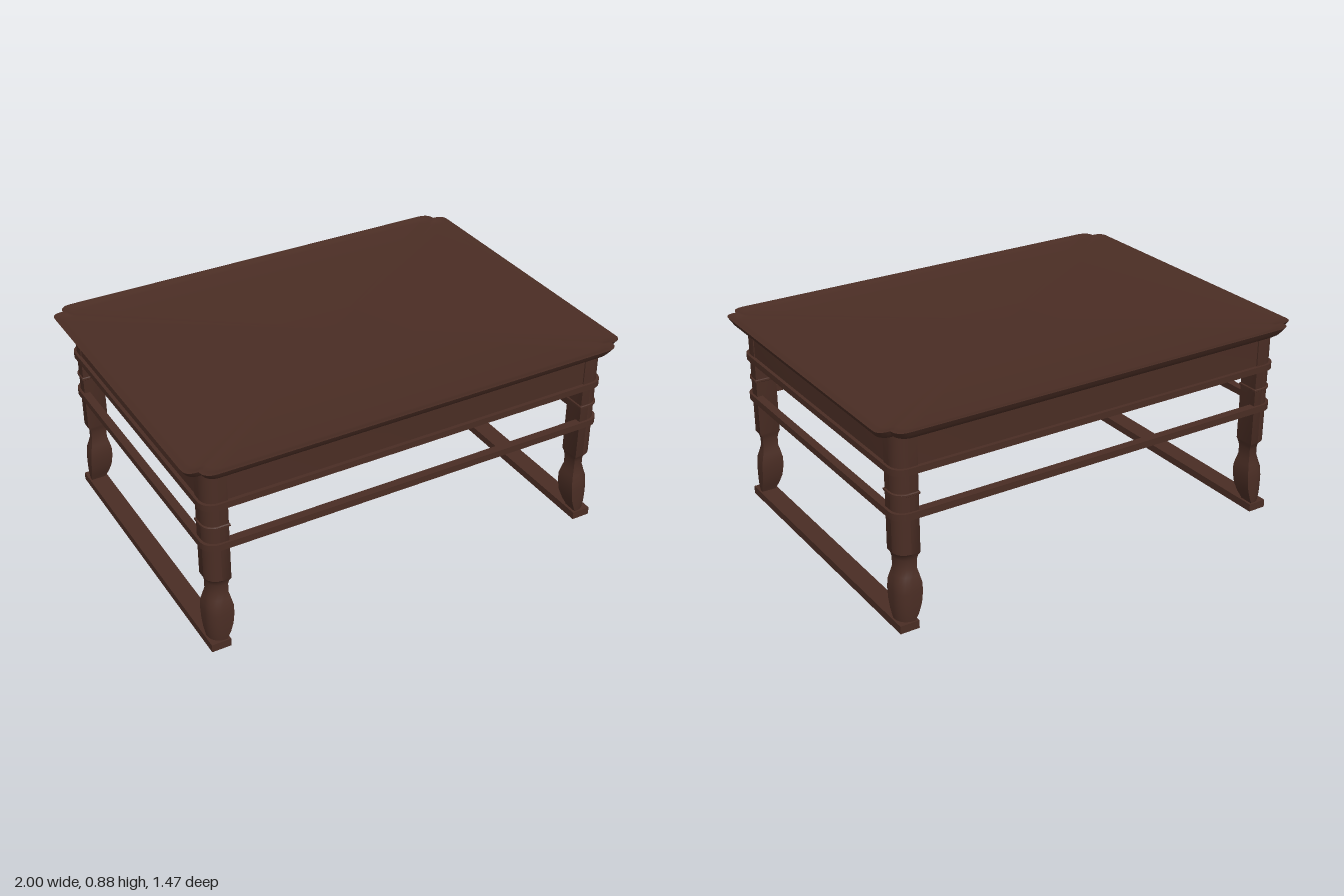
import * as THREE from 'three';
import { toCreasedNormals } from 'three/addons/utils/BufferGeometryUtils.js';

const wood = new THREE.MeshStandardMaterial({ color: 0x4a2d24 });
wood.name = 'dark brown wood';

// Skin a stack of rings (bottom to top), closed by a point at each end.
// Ring points run from +x towards +z.
function loft(rings, crease = 0.6) {
  const pos = [];
  const tri = (a, b, c) => {
    if (a.distanceTo(b) < 1e-6 || b.distanceTo(c) < 1e-6 || a.distanceTo(c) < 1e-6) return;
    for (const p of [a, b, c]) pos.push(p.x, p.y, p.z);
  };
  const closed = (r) => {
    const c = r.reduce((s, p) => s.add(p), new THREE.Vector3()).divideScalar(r.length);
    return r.map(() => c);
  };
  const all = [closed(rings[0]), ...rings, closed(rings[rings.length - 1])];
  for (let k = 0; k < all.length - 1; k++) {
    const a = all[k], b = all[k + 1], n = a.length;
    for (let i = 0; i < n; i++) {
      const j = (i + 1) % n;
      tri(a[i], b[i], a[j]);
      tri(a[j], b[i], b[j]);
    }
  }
  const g = new THREE.BufferGeometry();
  g.setAttribute('position', new THREE.Float32BufferAttribute(pos, 3));
  return toCreasedNormals(g, crease);
}

// Table-top outline with two-lobed corners, inset by o
function topRing(y, o) {
  const hx = 1 - o, hz = 0.735 - o;
  const V = (x, z) => new THREE.Vector2(x, z);
  const cusp = V(hx - 0.052, hz - 0.048);
  const corner = [
    ...new THREE.QuadraticBezierCurve(V(hx, hz - 0.09), V(hx, hz - 0.045), cusp).getPoints(8),
    ...new THREE.QuadraticBezierCurve(cusp, V(hx - 0.055, hz), V(hx - 0.11, hz)).getPoints(8).slice(1),
  ];
  const pts = [];
  for (const [sx, sz] of [[1, 1], [-1, 1], [-1, -1], [1, -1]]) {
    const c = corner.map((p) => new THREE.Vector3(p.x * sx, y, p.y * sz));
    pts.push(...(sx * sz < 0 ? c.reverse() : c));
  }
  return pts;
}

// Square leg section from a (inner) to b (outer) with a rounded outer corner
function legRing(y, a, b, sx, sz) {
  const r = 0.055, dx = 0.25, pts = [[a, a], [b, a]];
  for (let i = 0; i <= 6; i++) {
    const t = (i / 6) * Math.PI / 2;
    pts.push([b - r + r * Math.cos(t), b - r + r * Math.sin(t)]);
  }
  pts.push([a, b]);
  const ring = pts.map(([x, z]) => new THREE.Vector3((x + dx) * sx, y, z * sz));
  return sx * sz < 0 ? ring.reverse() : ring;
}

function roundedRect(path, hx, hz, r) {
  path.moveTo(hx, -hz + r);
  path.lineTo(hx, hz - r);
  path.absarc(hx - r, hz - r, r, 0, Math.PI / 2, false);
  path.absarc(-hx + r, hz - r, r, Math.PI / 2, Math.PI, false);
  path.absarc(-hx + r, -hz + r, r, Math.PI, Math.PI * 1.5, false);
  path.absarc(hx - r, -hz + r, r, Math.PI * 1.5, Math.PI * 2, false);
  return path;
}

// Rounded rectangular frame lying flat between two heights
function frame(hx, hz, thick, y0, y1) {
  const shape = roundedRect(new THREE.Shape(), hx, hz, 0.06);
  shape.holes.push(roundedRect(new THREE.Path(), hx - thick, hz - thick, 0.025));
  const g = new THREE.ExtrudeGeometry(shape, { depth: y1 - y0, bevelEnabled: false, curveSegments: 6 });
  g.rotateX(-Math.PI / 2).translate(0, y0, 0);
  return toCreasedNormals(g, 0.6);
}

export function createModel() {
  const group = new THREE.Group();
  group.name = 'lowTable';
  const add = (name, geometry) => {
    const m = new THREE.Mesh(geometry, wood);
    m.name = name;
    group.add(m);
    return m;
  };

  // Flared top with a slight raised rim
  add('tableTop', loft([
    topRing(0.84, 0.045), topRing(0.843, 0.032), topRing(0.852, 0.02), topRing(0.867, 0.01),
    topRing(0.885, 0), topRing(0.884, 0.012), topRing(0.878, 0.025), topRing(0.875, 0.045),
  ]));

  // Apron and the two rails running all round
  add('apron', frame(0.92, 0.668, 0.035, 0.685, 0.845));
  add('apronMoulding', frame(0.935, 0.684, 0.04, 0.68, 0.708));
  add('stretcherFrame', frame(0.935, 0.684, 0.036, 0.49, 0.52));

  // Leg profile: height, inner edge, outer edge
  const profile = [
    [0.02, 0.612, 0.672], [0.04, 0.607, 0.674], [0.07, 0.594, 0.677], [0.11, 0.582, 0.678],
    [0.16, 0.576, 0.678], [0.2, 0.576, 0.675], [0.23, 0.582, 0.667], [0.26, 0.589, 0.66],
    [0.3, 0.589, 0.66], [0.32, 0.585, 0.664], [0.335, 0.58, 0.674], [0.84, 0.58, 0.674],
  ];
  for (const sx of [1, -1]) {
    const side = sx > 0 ? 'Left' : 'Right';
    for (const sz of [1, -1]) {
      const where = (sz > 0 ? 'front' : 'back') + side;
      add(where + 'Leg', loft(profile.map(([y, a, b]) => legRing(y, a, b, sx, sz))));
      // Thin bead round the leg between the rails
      add(where + 'LegBead', loft([[0.586, 0], [0.589, 0.004], [0.597, 0.004], [0.6, 0]]
        .map(([y, o]) => legRing(y, 0.579 - o, 0.675 + o, sx, sz))));
    }
    // Floor runner joining the front and back feet
    const runner = add('footRunner' + side, new THREE.BoxGeometry(0.085, 0.035, 1.36));
    runner.position.set(sx * 0.889, 0.0175, 0);
  }
  return group;
}
